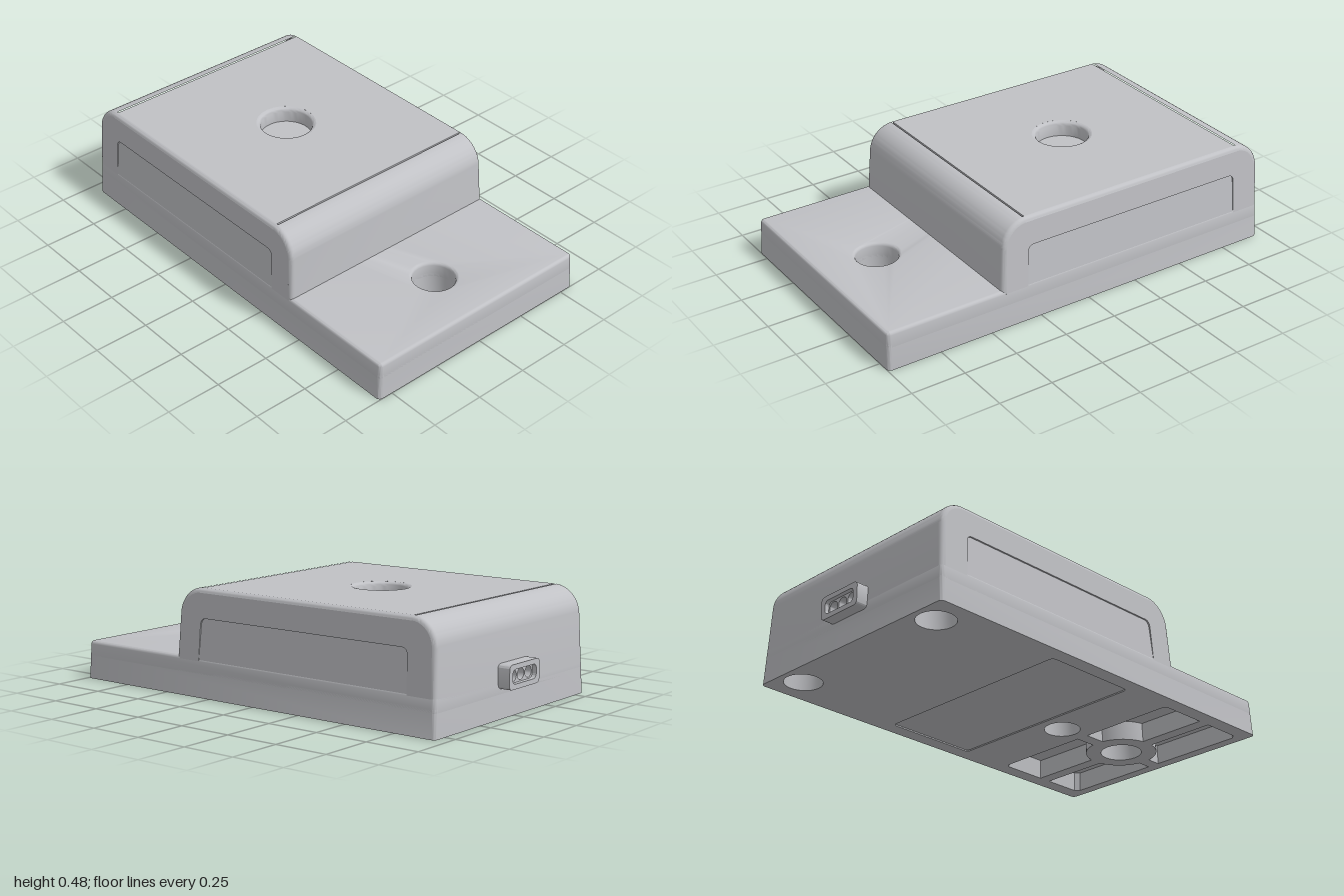
import * as THREE from 'three';
import { toCreasedNormals } from 'three/addons/utils/BufferGeometryUtils.js';

const W = 0.57; // half width at the base
const BACK = -0.95, FRONT = 1;

const rect = (x0, y0, x1, y1, r) => {
  const s = new THREE.Shape();
  s.absarc(x1 - r, y1 - r, r, 0, Math.PI / 2);
  s.absarc(x0 + r, y1 - r, r, Math.PI / 2, Math.PI);
  s.absarc(x0 + r, y0 + r, r, Math.PI, Math.PI * 1.5);
  s.absarc(x1 - r, y0 + r, r, Math.PI * 1.5, Math.PI * 2);
  return s;
};
const circle = (x, y, r) => new THREE.Path().absarc(x, y, r, 0, Math.PI * 2);

// Extrude with an optional rounded edge that stays inside the outline
const extrude = (shape, depth, bevel = 0) => {
  const g = new THREE.ExtrudeGeometry(shape, {
    depth: depth - 2 * bevel, curveSegments: 12, bevelEnabled: bevel > 0,
    bevelThickness: bevel, bevelSize: bevel, bevelOffset: -bevel, bevelSegments: 4,
  });
  return g.translate(0, 0, bevel);
};
// Horizontal plate: shape drawn in x, z
const plate = (shape, y0, y1, bevel) =>
  extrude(shape, y1 - y0, bevel).rotateX(Math.PI / 2).translate(0, y1, 0);

// Side outline of the raised housing in z, y, inset by d
const housingProfile = (d) => {
  const s = new THREE.Shape();
  s.moveTo(0.447 - d, 0.13 + d);
  s.lineTo(0.438 - d, 0.36);
  s.absarc(0.318, 0.36, 0.12 - d, 0, Math.PI / 2);
  s.absarc(-0.83, 0.36, 0.12 - d, Math.PI / 2, Math.PI);
  s.lineTo(BACK + d, 0.13 + d);
  return s;
};

export function createModel() {
  const group = new THREE.Group();
  const grey = new THREE.MeshStandardMaterial({ color: 0xc0c1c5 });
  grey.name = 'light grey plastic';

  // All walls lean inward slightly towards the top
  const add = (name, geo, lean = true) => {
    const p = geo.attributes.position;
    if (lean) for (let i = 0; i < p.count; i++) {
      const y = p.getY(i);
      p.setX(i, p.getX(i) * (1 - 0.0914 * y));
      p.setZ(i, p.getZ(i) * (1 - 0.035 * y));
    }
    const mesh = new THREE.Mesh(toCreasedNormals(geo, 0.6), grey);
    mesh.name = name;
    group.add(mesh);
  };

  // Underside with screw holes, label recess and four pockets around a ring
  const base = rect(-W, BACK, W, FRONT, 0.02);
  base.holes.push(circle(0.42, -0.84, 0.085), circle(-0.42, -0.84, 0.085));
  base.holes.push(circle(0, 0.32, 0.082), circle(0, 0.72, 0.095));
  const label = rect(-0.5, -0.26, 0.5, 0.2, 0.02);
  base.holes.push(label);
  const ring = 0.165, rib = 0.03, a0 = Math.asin(rib / ring);
  for (const sx of [-1, 1]) for (const sz of [-1, 1]) {
    const h = sz > 0 ? 0.23 : 0.265;
    const pts = [[rib, h], [0.48, h], [0.5, h - 0.02], [0.5, rib]];
    for (let i = 0; i <= 8; i++) {
      const a = a0 + (Math.PI / 2 - 2 * a0) * i / 8;
      pts.push([ring * Math.cos(a), ring * Math.sin(a)]);
    }
    base.holes.push(new THREE.Path(pts.map(([x, z]) => new THREE.Vector2(sx * x, 0.72 + sz * z))));
  }
  add('base', plate(base, 0, 0.12));
  add('labelRecess', plate(label, 0.006, 0.1));

  // Deck closing the pockets, with the through hole in the front step
  const deck = rect(-W, BACK, W, FRONT, 0.02);
  deck.holes.push(circle(0, 0.72, 0.095));
  add('deck', plate(deck, 0.09, 0.175, 0.015));

  // Raised housing: keep the swept wall, leave the ends and flat top open
  const sweep = extrude(housingProfile(0), 2 * W, 0.02).translate(0, 0, -W).rotateY(-Math.PI / 2);
  const { start, count } = sweep.groups[1];
  const sp = sweep.attributes.position, kept = [];
  for (let i = start; i < start + count; i += 3) {
    const tri = [i, i + 1, i + 2];
    if (tri.every((k) => sp.getY(k) > 0.4795)) continue;
    for (const k of tri) kept.push(sp.getX(k), sp.getY(k), sp.getZ(k));
  }
  const shell = new THREE.BufferGeometry();
  shell.setAttribute('position', new THREE.Float32BufferAttribute(kept, 3));
  add('housingShell', shell);

  // Flat top with a round blind hole
  const top = new THREE.Shape();
  top.moveTo(-0.55, -0.83).lineTo(0.55, -0.83).lineTo(0.55, 0.318).lineTo(-0.55, 0.318);
  top.holes.push(circle(0, -0.26, 0.14));
  add('housingTop', plate(top, 0.47, 0.48));
  const cup = [];
  for (let i = 0; i <= 4; i++) {
    const a = Math.PI / 2 * i / 4;
    cup.push(new THREE.Vector2(0.14 - 0.02 * Math.sin(a), 0.46 + 0.02 * Math.cos(a)));
  }
  cup.push(new THREE.Vector2(0.12, 0.41), new THREE.Vector2(0, 0.41));
  add('topHole', new THREE.LatheGeometry(cup, 48).translate(0, 0, -0.26));

  // Arched side frames around the slightly sunken side panels
  const arch = housingProfile(0.02);
  arch.lineTo(-0.81, 0.15);
  arch.lineTo(-0.81, 0.32);
  arch.quadraticCurveTo(-0.81, 0.35, -0.78, 0.35);
  arch.lineTo(0.28, 0.35);
  arch.quadraticCurveTo(0.308, 0.35, 0.31, 0.32);
  arch.lineTo(0.315, 0.15);
  for (const x of [W, -W + 0.02])
    add('sideFrame', extrude(arch, 0.02).rotateY(-Math.PI / 2).translate(x, 0, 0));
  const panel = new THREE.BoxGeometry(2 * W, 0.23, 1.14).translate(0, 0.245, -0.25);
  const pp = panel.attributes.position;
  for (let i = 0; i < pp.count; i++)
    if (pp.getY(i) > 0.3) pp.setX(i, pp.getX(i) - Math.sign(pp.getX(i)) * 0.008);
  add('sidePanels', panel);

  // Rear socket: rim with a slot, and three round contacts openings inside
  const rim = rect(-0.115, 0.128, 0.115, 0.234, 0.02);
  rim.holes.push(rect(-0.09, 0.15, 0.09, 0.212, 0.02));
  add('socketRim', extrude(rim, 0.07).translate(0, 0, -1), false);
  const core = rect(-0.1, 0.14, 0.1, 0.222, 0.01);
  for (const x of [-0.058, 0, 0.058]) core.holes.push(circle(x, 0.181, 0.025));
  add('socketCore', extrude(core, 0.05).translate(0, 0, -0.98), false);

  return group;
}
